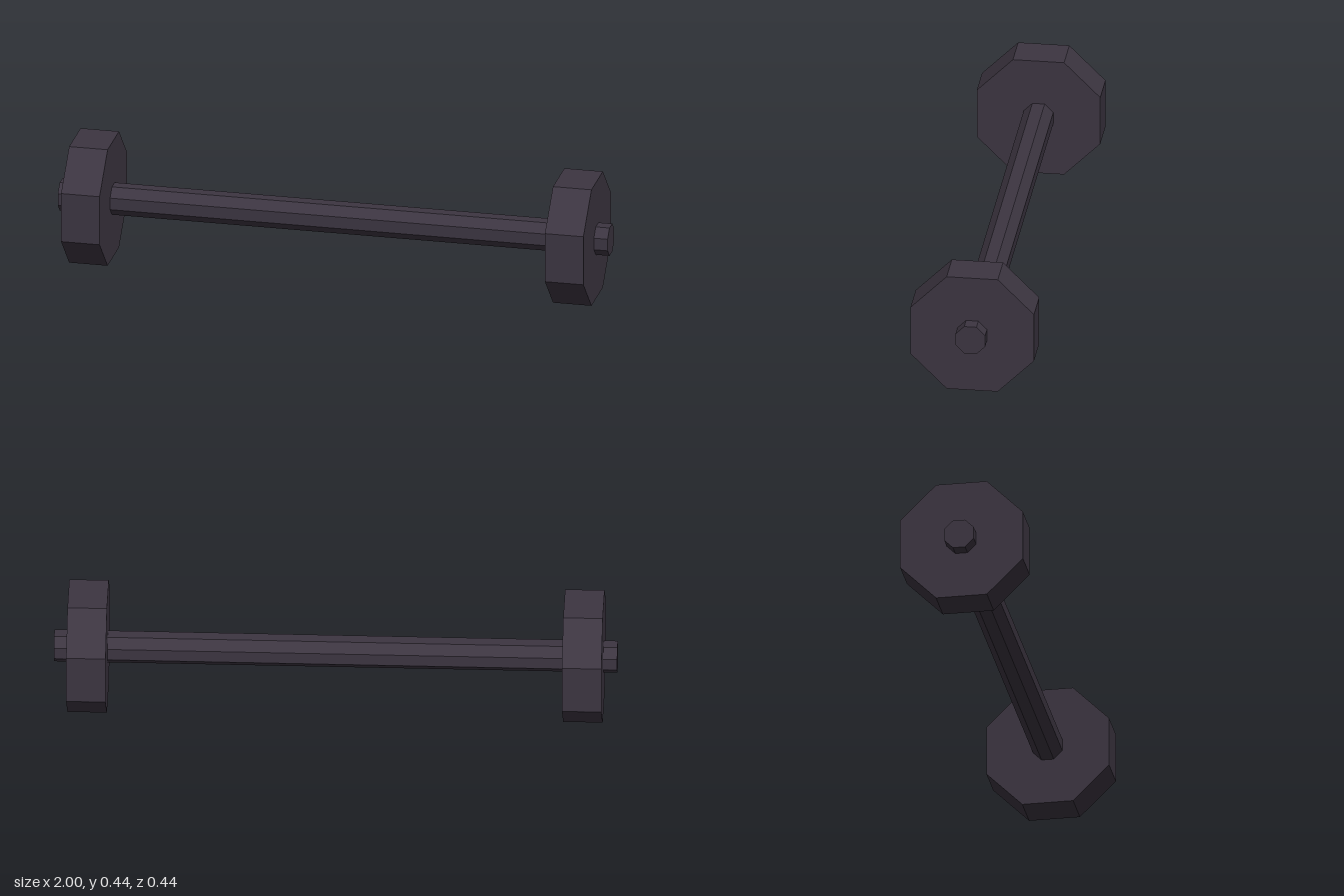
import * as THREE from 'three';

const CENTRE_Y = 0.221;

// Octagonal prism along x, resting on a flat side; apothem is centre to flat
function octagonBar(apothem, length) {
  const radius = apothem / Math.cos(Math.PI / 8);
  const geometry = new THREE.CylinderGeometry(radius, radius, length, 8, 1, false, Math.PI / 8);
  return geometry.rotateZ(-Math.PI / 2);
}

export function createModel() {
  const group = new THREE.Group();
  group.name = 'barbell';
  const iron = new THREE.MeshStandardMaterial({ color: 0x3c3541, flatShading: true });
  iron.name = 'dark iron';

  // Bar running through both weights
  const bar = new THREE.Mesh(octagonBar(0.053, 2), iron);
  bar.name = 'bar';
  bar.position.y = CENTRE_Y;
  group.add(bar);

  // One weight near each end
  const weightGeometry = octagonBar(CENTRE_Y, 0.14);
  for (const [name, side] of [['leftWeight', 1], ['rightWeight', -1]]) {
    const weight = new THREE.Mesh(weightGeometry, iron);
    weight.name = name;
    weight.position.set(side * 0.88, CENTRE_Y, 0);
    group.add(weight);
  }
  return group;
}
